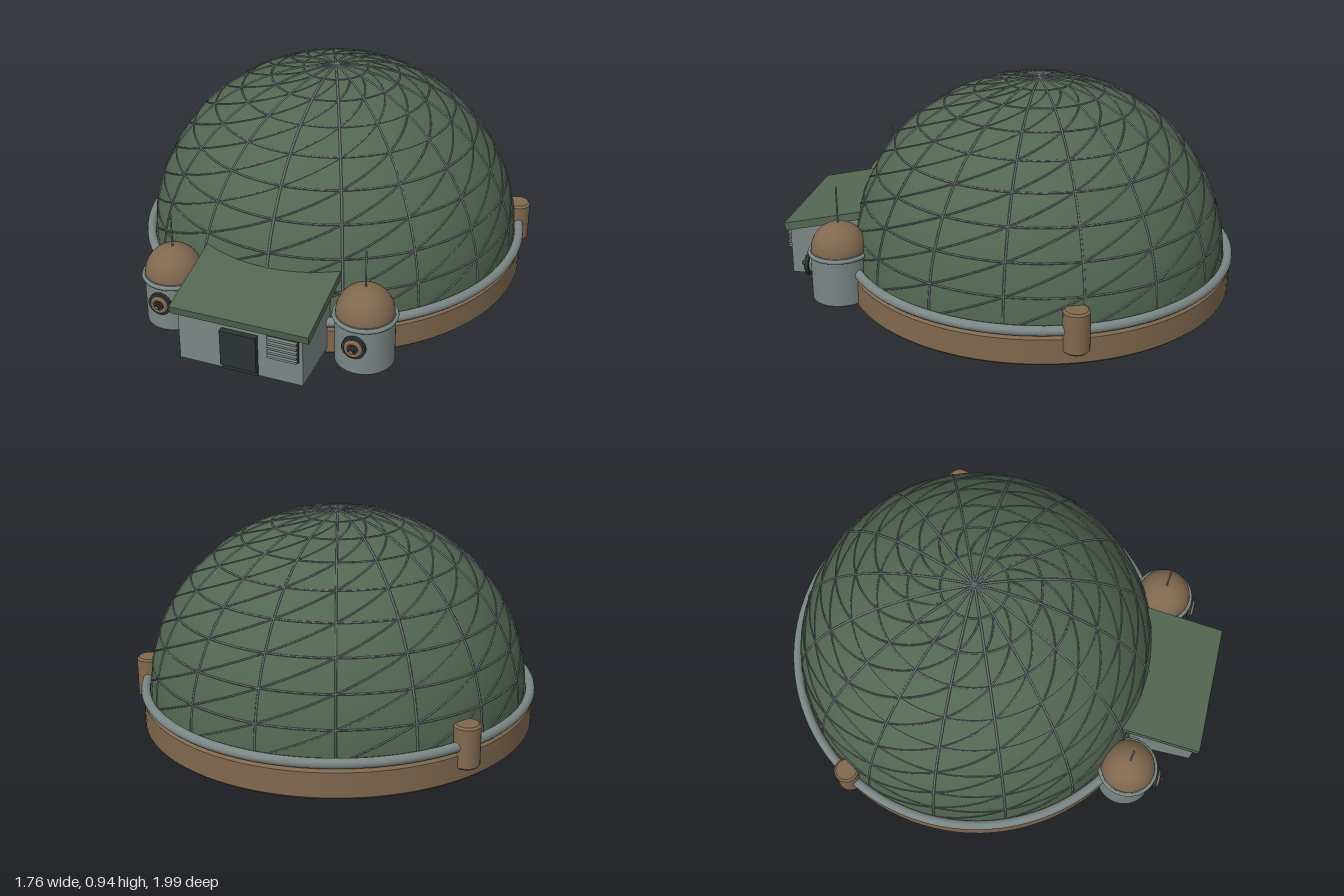
import * as THREE from 'three';

const mat = (name, color) => {
  const m = new THREE.MeshStandardMaterial({ color });
  m.name = name;
  return m;
};

export function createModel() {
  const green = mat('domeGreen', 0x526752);
  const brown = mat('earthBrown', 0x80684f);
  const grey = mat('panelGrey', 0x7a8685);
  const ribGrey = mat('ribGrey', 0x666c70);
  const dark = mat('darkMetal', 0x2b3335);

  const model = new THREE.Group();
  const add = (parent, name, geo, material, x = 0, y = 0, z = 0) => {
    const mesh = new THREE.Mesh(geo, material);
    mesh.name = name;
    mesh.position.set(x, y, z);
    parent.add(mesh);
    return mesh;
  };
  const lathe = (pts, n = 48) =>
    new THREE.LatheGeometry(pts.map(([r, y]) => new THREE.Vector2(r, y)), n);

  // Everything round shares the dome's axis
  const habitat = new THREE.Group();
  habitat.name = 'habitat';
  habitat.position.z = -0.12;
  model.add(habitat);

  // Foundation with softened rims; doubled points keep the faces crisp
  add(habitat, 'foundation', lathe([
    [0, 0], [0.857, 0], [0.857, 0], [0.868, 0.011], [0.868, 0.011],
    [0.868, 0.119], [0.868, 0.119], [0.857, 0.13], [0.857, 0.13], [0, 0.13],
  ], 96), brown);

  // Dome shell
  const R = 0.835, H = 0.795, Y0 = 0.14;
  const shell = new THREE.SphereGeometry(1, 96, 32, 0, Math.PI * 2, 0, Math.PI / 2);
  shell.scale(R, H, R);
  add(habitat, 'domeShell', shell, green, 0, Y0, 0);
  add(habitat, 'domeFoot', new THREE.CylinderGeometry(R, R, 0.02, 96, 1, true), green, 0, 0.135, 0);

  // Lattice ribs that follow the shell
  const onDome = (az, el) => new THREE.Vector3(
    R * Math.cos(el) * Math.sin(az), Y0 + H * Math.sin(el), R * Math.cos(el) * Math.cos(az));
  const lattice = new THREE.Group();
  lattice.name = 'lattice';
  habitat.add(lattice);
  const rib = (name, radius, steps, fn, closed = false) => {
    const pts = [];
    const last = closed ? steps - 1 : steps;
    for (let i = 0; i <= last; i++) pts.push(fn(i / steps));
    const curve = new THREE.CatmullRomCurve3(pts, closed);
    add(lattice, name, new THREE.TubeGeometry(curve, steps * 2, radius, 5, closed), ribGrey);
  };
  const SEG = 16, ROWS = 9, dAz = Math.PI * 2 / SEG, dEl = Math.PI / 2 / ROWS;
  for (let s = 0; s < SEG; s++) {
    rib('meridianRib', 0.0052, 18, t => onDome(s * dAz, t * Math.PI / 2));
    rib('diagonalRib', 0.0038, 32, t => onDome((s + t * (ROWS - 1)) * dAz, t * (ROWS - 1) * dEl));
  }
  for (let r = 1; r < ROWS; r++) {
    rib('ringRib', 0.0042, 48, t => onDome(t * Math.PI * 2, r * dEl), true);
  }

  // Pipe around the dome foot
  const pipe = new THREE.TorusGeometry(0.858, 0.021, 12, 128);
  pipe.rotateX(Math.PI / 2);
  add(habitat, 'ringPipe', pipe, grey, 0, 0.155, 0);

  // Anchor posts clasping the pipe
  const post = lathe([
    [0, 0], [0.047, 0], [0.047, 0], [0.056, 0.009], [0.056, 0.009],
    [0.056, 0.176], [0.056, 0.176], [0.047, 0.185], [0.047, 0.185], [0, 0.185],
  ], 28);
  for (const [x, z] of [[0.805, -0.29], [-0.742, -0.43]]) {
    add(habitat, 'anchorPost', post, brown, x, 0.06, z);
  }

  // Twin tanks beside the entrance
  const facing = geo => geo.rotateX(Math.PI / 2);
  const tankBody = lathe([
    [0, 0.015], [0.117, 0.015], [0.117, 0.015], [0.125, 0.023], [0.125, 0.023],
    [0.125, 0.246], [0.125, 0.246], [0, 0.246],
  ]);
  const tankCap = new THREE.SphereGeometry(0.122, 40, 16, 0, Math.PI * 2, 0, Math.PI / 2);
  const tankBand = new THREE.TorusGeometry(0.127, 0.01, 8, 48).rotateX(Math.PI / 2);
  const neck = facing(new THREE.CylinderGeometry(0.035, 0.035, 0.05, 28));
  const flange = facing(new THREE.CylinderGeometry(0.051, 0.051, 0.014, 28));
  const brownRing = new THREE.TorusGeometry(0.03, 0.01, 8, 28);
  const hub = facing(new THREE.CylinderGeometry(0.021, 0.021, 0.014, 24));
  const nub = facing(new THREE.CylinderGeometry(0.011, 0.011, 0.024, 16));
  const nubCap = facing(new THREE.CylinderGeometry(0.008, 0.008, 0.004, 16));
  for (const side of [-1, 1]) {
    const tank = new THREE.Group();
    tank.name = side > 0 ? 'leftTank' : 'rightTank';
    tank.position.set(side * 0.43, 0, 0.688);
    model.add(tank);
    add(tank, 'tankBody', tankBody, grey);
    add(tank, 'tankBand', tankBand, grey, 0, 0.234, 0);
    add(tank, 'tankCap', tankCap, brown, 0, 0.244, 0);
    add(tank, 'antenna', new THREE.CylinderGeometry(0.004, 0.004, 0.18, 8), grey, 0, 0.44, 0);
    add(tank, 'portNeck', neck, grey, 0, 0.16, 0.11);
    add(tank, 'portFlange', flange, dark, 0, 0.16, 0.138);
    add(tank, 'portRing', brownRing, brown, 0, 0.16, 0.147);
    add(tank, 'portHub', hub, dark, 0, 0.16, 0.15);
    add(tank, 'portNub', nub, dark, 0, 0.16, 0.159);
    add(tank, 'portNubCap', nubCap, brown, 0, 0.16, 0.171);
  }

  // Entrance: side profiles (z, y) extruded across x
  const entrance = new THREE.Group();
  entrance.name = 'entrance';
  model.add(entrance);
  const across = (pts, width) => {
    const shape = new THREE.Shape(pts.map(([z, y]) => new THREE.Vector2(-z, y)));
    const geo = new THREE.ExtrudeGeometry(shape, { depth: width, bevelEnabled: false });
    geo.translate(0, 0, -width / 2);
    return geo.rotateY(Math.PI / 2);
  };
  add(entrance, 'entranceWalls',
    across([[0.97, 0.03], [0.97, 0.258], [0.55, 0.354], [0.55, 0.03]], 0.54), grey);
  add(entrance, 'entranceRoof',
    across([[0.98, 0.246], [0.988, 0.282], [0.55, 0.383], [0.55, 0.347]], 0.6), green);

  // Door slab and the threshold under it
  add(entrance, 'door', new THREE.BoxGeometry(0.156, 0.165, 0.03), dark, 0, 0.143, 0.98);
  add(entrance, 'threshold', new THREE.BoxGeometry(0.156, 0.026, 0.02), dark, 0, 0.045, 0.968);

  // Louvred vent: pale slats over a dark recess
  add(entrance, 'ventBack', new THREE.BoxGeometry(0.134, 0.104, 0.008), dark, 0.188, 0.192, 0.972);
  for (let i = 0; i < 5; i++) {
    add(entrance, 'ventSlat', new THREE.BoxGeometry(0.126, 0.01, 0.018),
      grey, 0.188, 0.15 + i * 0.021, 0.983);
  }

  return model;
}
